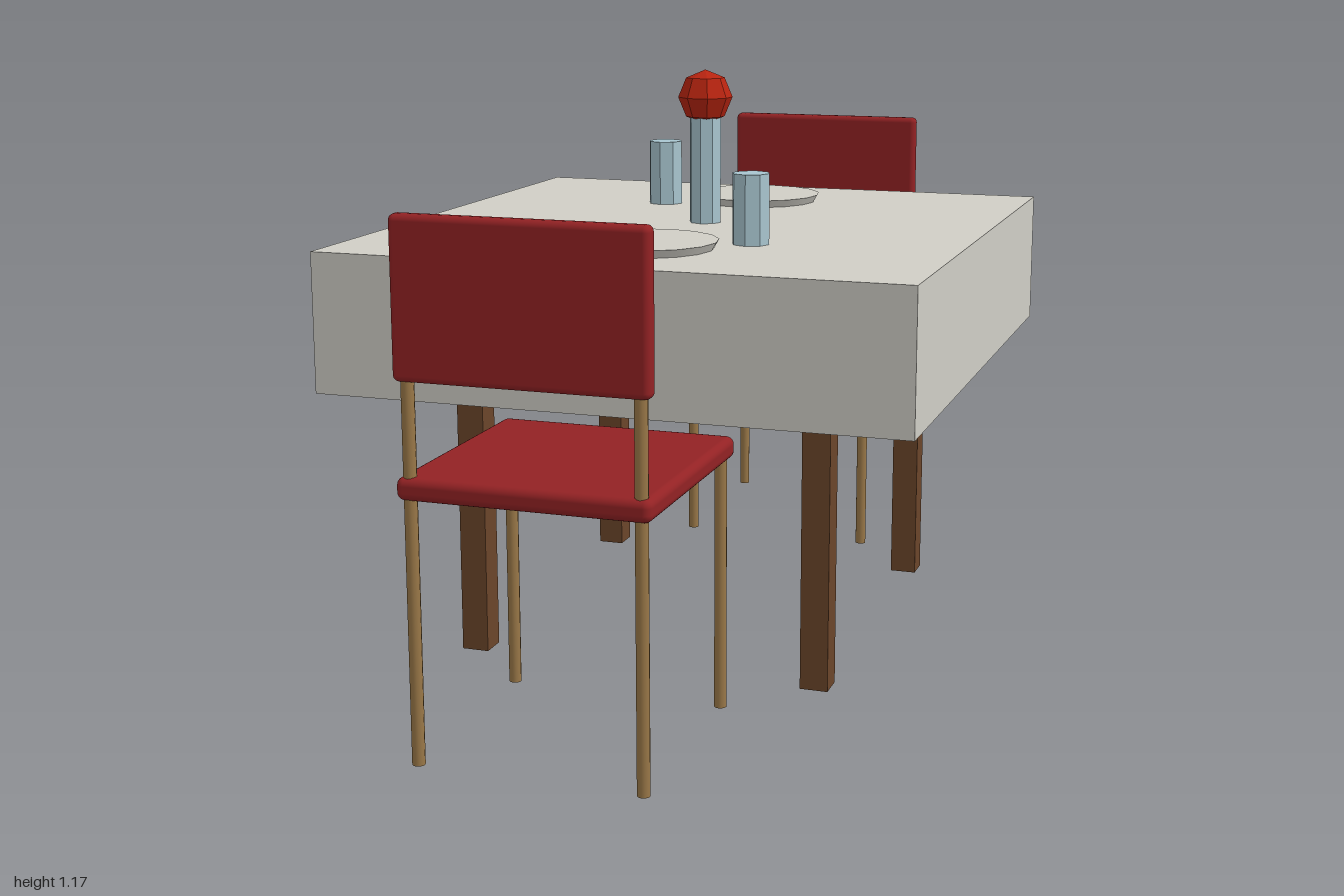
import * as THREE from 'three';
import { RoundedBoxGeometry } from 'three/addons/geometries/RoundedBoxGeometry.js';

const mat = (name, color, flatShading = false) => {
  const m = new THREE.MeshStandardMaterial({ color, flatShading });
  m.name = name;
  return m;
};

export function createModel() {
  const cloth = mat('clothGrey', 0xd0cec6);
  const wood = mat('darkWood', 0x6b452a);
  const red = mat('seatRed', 0x932224);
  const brass = mat('brassTan', 0x9a7848);
  const glass = mat('glassBlue', 0xa9c6d0, true);
  const flower = mat('flowerRed', 0xb82410, true);

  const model = new THREE.Group();
  model.name = 'diningSet';

  const add = (parent, name, geometry, material, x, y, z) => {
    const mesh = new THREE.Mesh(geometry, material);
    mesh.name = name;
    mesh.position.set(x, y, z);
    parent.add(mesh);
    return mesh;
  };

  // Table: wooden top and four square legs
  const table = new THREE.Group();
  table.name = 'table';
  model.add(table);
  add(table, 'tableTop', new THREE.BoxGeometry(0.78, 0.04, 0.84), wood, 0, 0.822, 0);
  for (const sx of [-1, 1]) {
    for (const sz of [-1, 1]) {
      add(table, 'tableLeg', new THREE.BoxGeometry(0.056, 0.805, 0.056), wood, sx * 0.361, 0.4025, sz * 0.391);
    }
  }

  // Tablecloth: a thin sheet on top with four hanging sides, open below
  const W = 1.19, D = 1.24, T = 0.006;
  const tablecloth = new THREE.Group();
  tablecloth.name = 'tablecloth';
  model.add(tablecloth);
  add(tablecloth, 'clothTop', new THREE.BoxGeometry(W, T, D), cloth, 0, 0.85 - T / 2, 0);
  const drop = 0.28 - T;
  for (const s of [-1, 1]) {
    add(tablecloth, 'clothSide', new THREE.BoxGeometry(T, drop, D), cloth, s * (W - T) / 2, 0.57 + drop / 2, 0);
    add(tablecloth, 'clothEnd', new THREE.BoxGeometry(W - 2 * T, drop, T), cloth, 0, 0.57 + drop / 2, s * (D - T) / 2);
  }

  // Place settings: a plate and a glass at each end
  for (const s of [-1, 1]) {
    add(model, 'plate', new THREE.CylinderGeometry(0.144, 0.135, 0.016, 16), cloth, 0, 0.858, s * 0.37);
    add(model, 'drinkingGlass', new THREE.CylinderGeometry(0.038, 0.038, 0.14, 8), glass, s * 0.18, 0.92, s * 0.26);
  }

  // Vase with a round flower
  add(model, 'vase', new THREE.CylinderGeometry(0.034, 0.034, 0.23, 8), glass, 0, 0.965, 0);
  add(model, 'flower', new THREE.SphereGeometry(0.057, 8, 4), flower, 0, 1.113, 0).rotation.y = Math.PI / 8;

  // Chairs: built for the front, turned round for the back
  const makeChair = () => {
    const chair = new THREE.Group();
    chair.name = 'chair';
    add(chair, 'seat', new RoundedBoxGeometry(0.47, 0.042, 0.47, 3, 0.015), red, 0, 0.51, 0.765);
    add(chair, 'backrest', new RoundedBoxGeometry(0.47, 0.29, 0.034, 3, 0.012), red, 0, 0.845, 0.983);
    for (const s of [-1, 1]) {
      add(chair, 'backPost', new THREE.CylinderGeometry(0.012, 0.012, 0.75, 12), brass, s * 0.213, 0.375, 0.981);
      add(chair, 'frontLeg', new THREE.CylinderGeometry(0.012, 0.012, 0.5, 12), brass, s * 0.213, 0.25, 0.553);
    }
    return chair;
  };
  for (const turn of [0, Math.PI]) {
    const chair = makeChair();
    chair.rotation.y = turn;
    model.add(chair);
  }

  return model;
}
